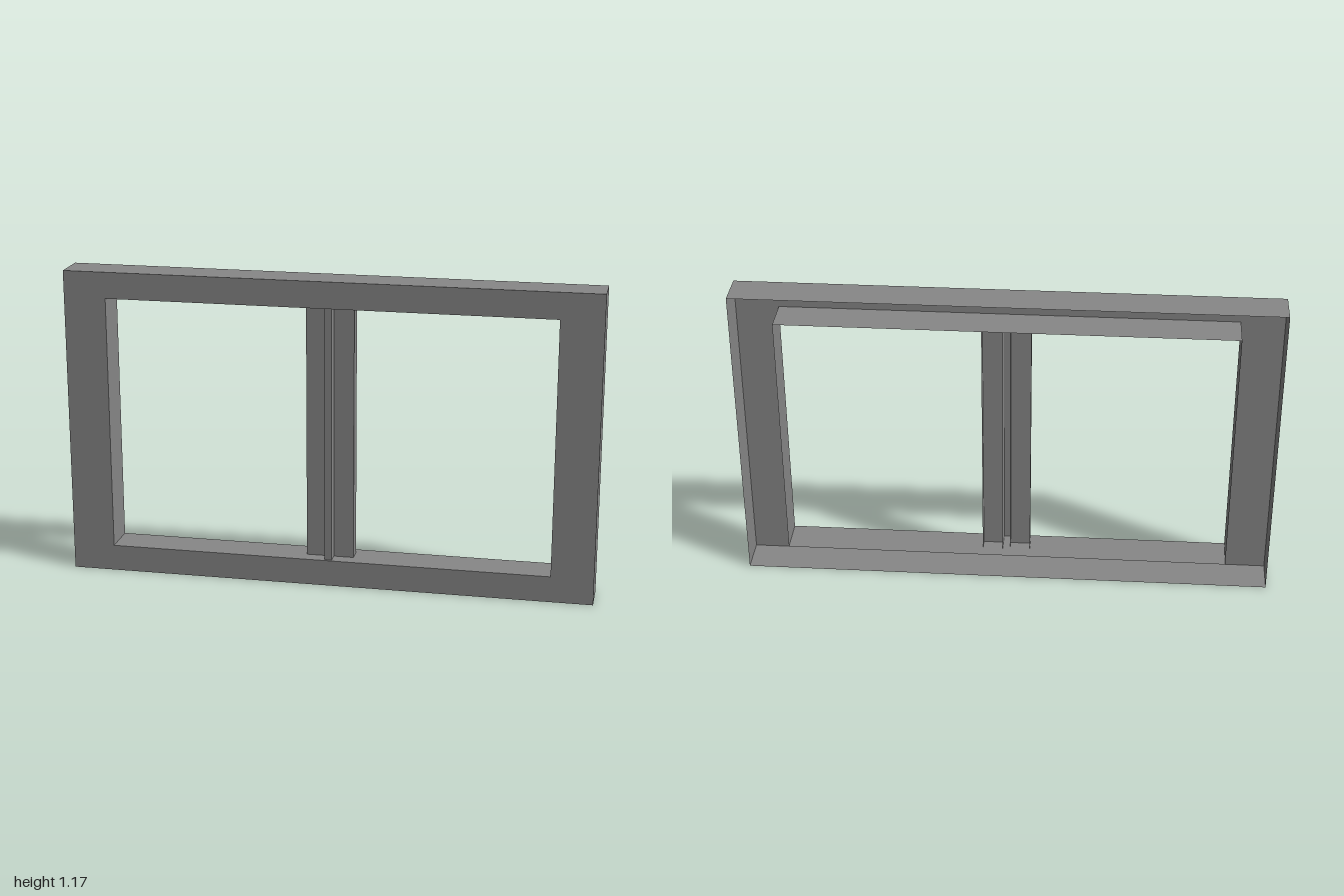
import * as THREE from 'three';

const material = new THREE.MeshStandardMaterial({ color: 0x878787, side: THREE.DoubleSide, flatShading: true });

// Thin sheet folded along an x, y path and swept by `length` along z
function foldedSheet(name, path, length) {
  const group = new THREE.Group();
  group.name = name;
  for (let i = 0; i < path.length - 1; i++) {
    const [ax, ay] = path[i], [bx, by] = path[i + 1];
    const geo = new THREE.PlaneGeometry(Math.hypot(bx - ax, by - ay), length);
    geo.rotateX(-Math.PI / 2);
    geo.rotateZ(Math.atan2(by - ay, bx - ax));
    geo.translate((ax + bx) / 2, (ay + by) / 2, 0);
    const mesh = new THREE.Mesh(geo, material);
    mesh.name = name + 'Face';
    group.add(mesh);
  }
  return group;
}

const rectangle = (x, y0, y1) => [[-x, y0], [x, y0], [x, y1], [-x, y1], [-x, y0]];
const toPoints = (path) => path.slice(0, 4).map(([x, y]) => new THREE.Vector2(x, y));

export function createModel() {
  const model = new THREE.Group();
  model.name = 'windowFrame';

  const depth = 0.14, sill = 0.1, head = 1.075;
  const outer = rectangle(1, 0, 1.175);
  const inner = rectangle(0.84, sill, head);

  // Front plate with its opening
  const plate = new THREE.Shape(toPoints(outer));
  plate.holes.push(new THREE.Path(toPoints(inner)));
  const front = new THREE.Mesh(new THREE.ShapeGeometry(plate), material);
  front.name = 'frontPlate';
  front.position.z = depth / 2;
  model.add(front);

  // Outer and inner flanges, leaving the frame open at the back
  model.add(foldedSheet('outerFlange', outer, depth));
  model.add(foldedSheet('innerFlange', inner, depth));

  // Central mullion: two channels open at the back and a raised strip between
  const edge = 0.09, gap = 0.014;
  const outerBack = -0.035, innerBack = -0.027, face = 0.017, raised = 0.06;
  const mullion = new THREE.Group();
  mullion.name = 'mullion';

  // Upright with an x, z section
  const addUpright = (name, section) => {
    const part = foldedSheet(name, section.map(([x, z]) => [x, -z]), head - sill);
    part.rotation.x = -Math.PI / 2;
    part.position.y = (head + sill) / 2;
    mullion.add(part);
  };
  for (const [s, name] of [[1, 'leftPost'], [-1, 'rightPost']]) {
    addUpright(name, [[s * edge, outerBack], [s * edge, face], [s * gap, face], [s * gap, innerBack]]);
  }
  addUpright('centreStrip', [[-gap, face], [-gap, raised], [gap, raised], [gap, face]]);
  model.add(mullion);

  return model;
}
